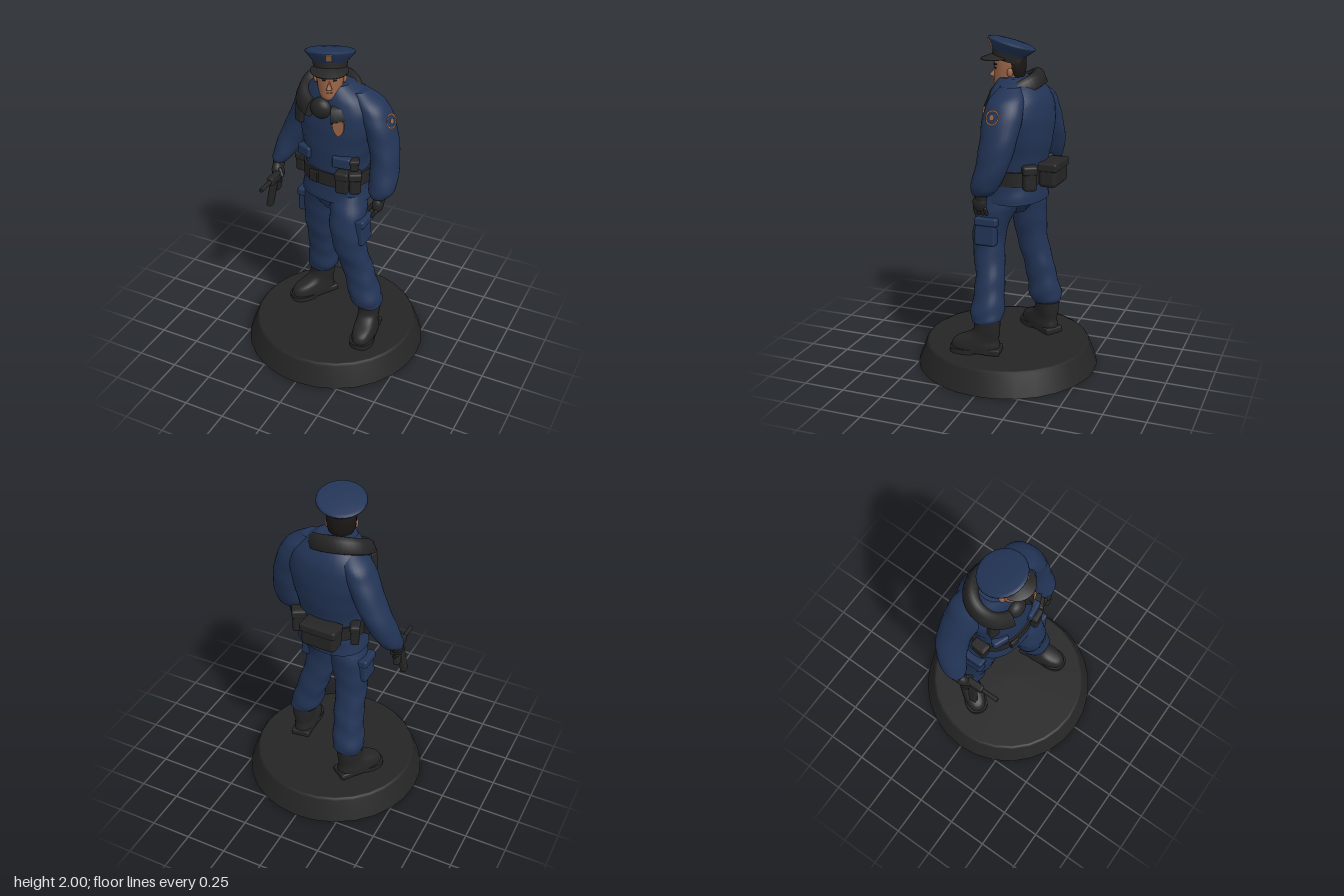
import * as THREE from 'three';
import { RoundedBoxGeometry } from 'three/addons/geometries/RoundedBoxGeometry.js';

const mat = (name, color) => Object.assign(new THREE.MeshStandardMaterial({ color }), { name });

// Skin over a row of closed rings, with flat ends
function skin(rows) {
  const n = rows[0].length, pos = [], idx = [];
  rows.forEach(r => r.forEach(p => pos.push(...p)));
  for (let i = 0; i < rows.length - 1; i++) for (let j = 0; j < n; j++) {
    const a = i * n + j, b = i * n + (j + 1) % n;
    idx.push(a, a + n, b, b, a + n, b + n);
  }
  [rows[0], rows[rows.length - 1]].forEach((ring, end) => {
    const c = pos.length / 3;
    pos.push(...[0, 1, 2].map(k => ring.reduce((s, p) => s + p[k], 0) / n));
    ring.forEach(p => pos.push(...p));
    for (let j = 0; j < n; j++) {
      const a = c + 1 + j, b = c + 1 + (j + 1) % n;
      idx.push(c, end ? b : a, end ? a : b);
    }
  });
  const g = new THREE.BufferGeometry();
  g.setAttribute('position', new THREE.Float32BufferAttribute(pos, 3));
  g.setIndex(idx);
  g.computeVertexNormals();
  return g;
}

// Smooth upright form through oval sections [x, y, z, rx, rz], lowest first
function loft(sections, { yaw = 0, square = 2, fold = 0, waves = 6 } = {}) {
  const path = new THREE.CatmullRomCurve3(sections.map(s => new THREE.Vector3(s[0], s[1], s[2])), false, 'catmullrom');
  const size = new THREE.CatmullRomCurve3(sections.map(s => new THREE.Vector3(s[3], s[4], 0)), false, 'catmullrom');
  const rows = [], steps = (sections.length - 1) * 5, sides = 28;
  const bend = v => Math.sign(v) * Math.abs(v) ** (2 / square);
  for (let i = 0; i <= steps; i++) {
    const t = i / steps, p = path.getPoint(t), r = size.getPoint(t), ring = [];
    for (let j = 0; j < sides; j++) {
      const a = j / sides * Math.PI * 2;
      const k = 1 + fold * Math.sin(t * waves * Math.PI * 2 + 1.6 * Math.sin(a * 2)) * (1 - t * 0.6);
      const u = bend(Math.cos(a)) * r.x * k, v = bend(Math.sin(a)) * r.y * k;
      ring.push([p.x + u * Math.cos(yaw) - v * Math.sin(yaw), p.y, p.z + u * Math.sin(yaw) + v * Math.cos(yaw)]);
    }
    rows.push(ring);
  }
  return skin(rows);
}

export function createModel() {
  const model = new THREE.Group();
  model.name = 'officerFigure';
  const navy = mat('navy cloth', 0x223456), black = mat('black leather', 0x252525);
  const flesh = mat('skin', 0x9c6648), hairMat = mat('dark hair', 0x1a1614), tan = mat('tan badge', 0x9c6648);

  const add = (name, geo, m, p = [0, 0, 0], r = [0, 0, 0], parent = model) => {
    const mesh = new THREE.Mesh(geo, m);
    mesh.name = name;
    mesh.position.set(...p);
    mesh.rotation.set(...r);
    parent.add(mesh);
    return mesh;
  };
  const box = (name, s, m, p, r, parent) =>
    add(name, new RoundedBoxGeometry(...s, 2, Math.min(...s) * 0.25), m, p, r, parent);
  const ball = (name, s, m, p, r, parent) => {
    const b = add(name, new THREE.SphereGeometry(1, 18, 12), m, p, r, parent);
    b.scale.set(...s);
    return b;
  };
  const group = (name, p, r, parent = model) => {
    const g = new THREE.Group();
    g.name = name;
    g.position.set(...p);
    g.rotation.set(...r);
    parent.add(g);
    return g;
  };
  const lathe = pts => new THREE.LatheGeometry(pts.map(p => new THREE.Vector2(...p)), 28);

  // Display base: separate profiles keep its edges crisp
  add('baseSide', lathe([[0.555, 0], [0.505, 0.13], [0.495, 0.142], [0.485, 0.142]]), black);
  add('baseTop', new THREE.CircleGeometry(0.488, 28), black, [0, 0.142, 0], [-Math.PI / 2, 0, 0]);
  add('baseBottom', new THREE.CircleGeometry(0.555, 28), black, [0, 0, 0], [Math.PI / 2, 0, 0]);

  // Boots
  for (const [side, p, yaw] of [['left', [0.25, 0.142, 0.04], 0.12], ['right', [-0.19, 0.142, -0.19], -0.6]]) {
    const boot = group(side + 'Boot', p, [0, yaw, 0]);
    add('bootUpper', loft([[0, 0.01, 0.07, 0.068, 0.148], [0, 0.05, 0.07, 0.069, 0.148], [0, 0.085, 0.06, 0.065, 0.132],
      [0, 0.12, 0.02, 0.062, 0.095], [0, 0.16, 0, 0.066, 0.078], [0, 0.25, 0, 0.072, 0.08]], { square: 2.4 }), black, [0, 0, 0], [0, 0, 0], boot);
    add('toeSole', loft([[0, 0, 0.135, 0.073, 0.095], [0, 0.03, 0.135, 0.073, 0.095]], { square: 2.4 }), black, [0, 0, 0], [0, 0, 0], boot);
    box('heel', [0.12, 0.04, 0.1], black, [0, 0.02, -0.035], [0, 0, 0], boot);
  }

  // Baggy trousers with folds and thigh pockets
  const folds = { fold: 0.035, waves: 6, square: 2.2 };
  add('leftLeg', loft([[0.25, 0.345, 0.045, 0.075, 0.08], [0.23, 0.39, 0.045, 0.098, 0.1], [0.2, 0.5, 0.045, 0.096, 0.09],
    [0.165, 0.62, 0.05, 0.096, 0.085], [0.13, 0.75, 0.07, 0.098, 0.092], [0.112, 0.88, 0.07, 0.106, 0.1],
    [0.1, 1.0, 0.03, 0.108, 0.115], [0.08, 1.1, -0.02, 0.1, 0.12]], folds), navy);
  add('rightLeg', loft([[-0.185, 0.345, -0.19, 0.075, 0.08], [-0.178, 0.39, -0.185, 0.096, 0.1], [-0.168, 0.5, -0.165, 0.09, 0.092],
    [-0.16, 0.62, -0.14, 0.09, 0.09], [-0.155, 0.75, -0.105, 0.094, 0.092], [-0.143, 0.88, -0.09, 0.106, 0.1],
    [-0.125, 1.0, -0.08, 0.108, 0.115], [-0.1, 1.1, -0.06, 0.1, 0.12]], folds), navy);
  add('pelvis', loft([[-0.01, 0.97, -0.02, 0.07, 0.08], [-0.01, 1.03, -0.035, 0.16, 0.12], [-0.01, 1.1, -0.045, 0.19, 0.14]]), navy);
  box('leftThighPocket', [0.06, 0.15, 0.13], navy, [0.205, 0.88, 0.06], [0, 0, 0.08]);
  box('leftPocketFlap', [0.07, 0.05, 0.14], navy, [0.205, 0.95, 0.055], [0, 0, 0.08]);
  box('rightThighPocket', [0.06, 0.14, 0.13], navy, [-0.235, 0.92, -0.08], [0, 0, -0.06]);
  box('rightPocketFlap', [0.07, 0.05, 0.14], navy, [-0.235, 0.98, -0.08], [0, 0, -0.06]);

  // Jacket
  const twist = 0.15;
  add('jacket', loft([[-0.012, 1.055, -0.055, 0.218, 0.168], [-0.012, 1.13, -0.055, 0.205, 0.164], [-0.012, 1.21, -0.055, 0.192, 0.158],
    [-0.012, 1.3, -0.06, 0.195, 0.168], [-0.01, 1.42, -0.07, 0.222, 0.178], [-0.01, 1.54, -0.075, 0.25, 0.178],
    [-0.01, 1.64, -0.075, 0.235, 0.165], [-0.02, 1.71, -0.065, 0.185, 0.14], [-0.035, 1.77, -0.05, 0.11, 0.1]],
    { yaw: twist, square: 2.35, fold: 0.008, waves: 7 }), navy);
  const sleeve = { fold: 0.022, waves: 5 };
  add('leftSleeve', loft([[0.3, 1.14, 0.045, 0.052, 0.055], [0.308, 1.19, 0.025, 0.08, 0.082], [0.303, 1.32, -0.02, 0.083, 0.097],
    [0.28, 1.45, -0.045, 0.086, 0.107], [0.238, 1.58, -0.055, 0.088, 0.115], [0.19, 1.67, -0.06, 0.082, 0.1],
    [0.12, 1.735, -0.06, 0.05, 0.06]], sleeve), navy);
  add('rightSleeve', loft([[-0.415, 1.14, -0.075, 0.045, 0.05], [-0.4, 1.18, -0.1, 0.064, 0.08], [-0.355, 1.3, -0.14, 0.082, 0.095],
    [-0.295, 1.43, -0.15, 0.086, 0.1], [-0.228, 1.57, -0.13, 0.088, 0.11], [-0.185, 1.66, -0.12, 0.08, 0.1],
    [-0.12, 1.735, -0.09, 0.05, 0.06]], sleeve), navy);
  box('rightWaistPocket', [0.1, 0.07, 0.05], navy, [-0.165, 1.335, 0.06], [0, -0.4, 0]);
  box('leftWaistPocket', [0.11, 0.07, 0.05], navy, [0.09, 1.34, 0.105], [0, 0.1, 0]);

  // Raised collar, high at the back and open at the front
  const collar = [];
  for (let i = 0; i <= 36; i++) {
    const a = (i / 36 * 2 - 1) * 2.75, s = Math.sin(a), c = -Math.cos(a);
    const y = 1.67 + 0.14 * (1 - c) / 2 - 0.02 * s;
    collar.push([[-0.06, -0.06], [-0.045, -0.01], [-0.015, 0.005], [0.01, -0.015], [0.035, -0.075], [0, -0.1]]
      .map(([r, d]) => [-0.045 + s * (0.172 + r), y + d, -0.03 + c * (0.148 + r)]));
  }
  add('collar', skin(collar), black);
  add('neck', new THREE.CylinderGeometry(0.065, 0.08, 0.12, 20), black, [-0.04, 1.7, -0.01]);
  ball('scarf', [0.065, 0.062, 0.05], black, [-0.05, 1.645, 0.085]);

  // Chest radio, badge and sleeve patch
  box('radio', [0.06, 0.13, 0.05], black, [-0.2, 1.575, 0.045], [0, -0.4, -0.08]);
  ball('radioTop', [0.035, 0.04, 0.03], black, [-0.185, 1.62, 0.05]);
  const shield = new THREE.Shape();
  shield.moveTo(0, -0.052);
  shield.quadraticCurveTo(0.042, -0.025, 0.035, 0.035);
  shield.lineTo(0.018, 0.048);
  shield.lineTo(-0.018, 0.048);
  shield.lineTo(-0.035, 0.035);
  shield.quadraticCurveTo(-0.042, -0.025, 0, -0.052);
  add('chestBadge', new THREE.ExtrudeGeometry(shield, { depth: 0.009, bevelEnabled: false }), tan, [0.07, 1.555, 0.108], [0, 0, 0]);
  const patch = group('sleevePatch', [0.329, 1.595, -0.03], [-0.1, 1.35, 0]);
  patch.rotation.order = 'YXZ';
  patch.rotation.x = -0.32;
  add('patchRing', new THREE.RingGeometry(0.034, 0.045, 20), tan, [0, 0, 0], [0, 0, 0], patch);
  add('patchCentre', new THREE.CircleGeometry(0.018, 8), tan, [0, 0, 0.006], [0, 0, 0], patch);

  // Duty belt
  add('belt', loft([[-0.012, 1.165, -0.055, 0.207, 0.171], [-0.012, 1.25, -0.055, 0.205, 0.171]], { yaw: twist, square: 2.35 }), black);
  box('buckle', [0.06, 0.07, 0.02], black, [-0.09, 1.205, 0.107], [0, -0.2, 0]);
  for (const [name, s, p, yaw] of [
    ['frontPouch', [0.075, 0.14, 0.06], [0.1, 1.22, 0.12], 0.1],
    ['sidePouch', [0.07, 0.14, 0.07], [0.165, 1.22, 0.09], 0.5],
    ['upperPouch', [0.05, 0.07, 0.06], [0.155, 1.33, 0.08], 0.5],
    ['rightPouch', [0.06, 0.12, 0.09], [-0.23, 1.21, -0.03], -0.1],
    ['rightRearPouch', [0.05, 0.13, 0.08], [-0.205, 1.22, -0.17], 0.4],
    ['backPouch', [0.22, 0.15, 0.11], [-0.04, 1.22, -0.267], -0.04],
    ['backHolster', [0.08, 0.15, 0.08], [0.145, 1.22, -0.185], 0.5]]) {
    box(name, s, black, p, [0, yaw, 0]);
    box(name + 'Flap', [s[0] + 0.008, s[1] * 0.35, s[2] + 0.008], black, [p[0], p[1] + s[1] * 0.31, p[2]], [0, yaw, 0]);
  }

  // Gloved hands
  const hands = [['left', [0.3, 1.09, 0.06], [0, 0, -0.1], 1], ['right', [-0.415, 1.09, -0.035], [-0.5, 0, 0.1], -1]];
  for (const [side, p, r, m] of hands) {
    const hand = group(side + 'Hand', p, r);
    ball('palm', [0.034, 0.052, 0.042], black, [0, 0, 0], [0, 0, 0], hand);
    add('cuff', new THREE.CylinderGeometry(0.04, 0.034, 0.06, 16), black, [0, 0.05, -0.01], [0, 0, 0], hand);
    for (let i = 0; i < 4; i++)
      add('finger', new THREE.CapsuleGeometry(0.012, 0.045, 4, 8), black, [-0.006 * m, -0.052, -0.032 + i * 0.021], [0, 0, -0.45 * m], hand);
    add('thumb', new THREE.CapsuleGeometry(0.013, 0.04, 4, 8), black, [-0.035 * m, -0.02, 0.02], [0, 0, -0.5 * m], hand);
  }

  // Sidearm pointing forward
  const gun = group('sidearm', [-0.395, 1.07, 0.02], [0, 0, 0]);
  box('gunBody', [0.04, 0.055, 0.16], black, [0, 0, 0], [0, 0, 0], gun);
  add('barrel', new THREE.CylinderGeometry(0.013, 0.013, 0.13, 12), black, [0, 0, 0.12], [Math.PI / 2, 0, 0], gun);
  box('gunGrip', [0.036, 0.1, 0.05], black, [-0.008, -0.06, -0.03], [0.2, 0, -0.1], gun);
  box('gunMagazine', [0.034, 0.18, 0.05], black, [-0.02, -0.11, 0.02], [-0.1, 0, -0.14], gun);

  // Head, turned towards its left
  const head = group('head', [-0.035, 1.8, 0], [0, 0.4, 0]);
  add('face', loft([[0, -0.112, 0.045, 0.028, 0.03], [0, -0.09, 0.032, 0.054, 0.06], [0, -0.04, 0.01, 0.07, 0.083],
    [0, 0.02, 0.002, 0.078, 0.09], [0, 0.07, 0, 0.078, 0.09], [0, 0.1, 0, 0.07, 0.08]]), flesh, [0, 0, 0], [0, 0, 0], head);
  add('nose', new THREE.ConeGeometry(0.019, 0.055, 6), flesh, [0, -0.002, 0.096], [-0.25, 0, 0], head);
  box('mouth', [0.036, 0.005, 0.008], hairMat, [0, -0.052, 0.089], [0, 0, 0], head);
  add('hair', loft([[0, -0.04, -0.03, 0.062, 0.052], [0, 0.0, -0.028, 0.079, 0.064], [0, 0.05, -0.025, 0.084, 0.07],
    [0, 0.095, -0.02, 0.08, 0.07]]), hairMat, [0, 0, 0], [0, 0, 0], head);
  for (const m of [1, -1]) {
    ball('ear', [0.011, 0.026, 0.017], flesh, [m * 0.082, 0, 0.005], [0, 0, 0], head);
    box('brow', [0.034, 0.008, 0.009], hairMat, [m * 0.03, 0.04, 0.086], [0, m * 0.35, m * 0.12], head);
    box('eye', [0.022, 0.008, 0.008], hairMat, [m * 0.03, 0.02, 0.085], [0, m * 0.35, 0], head);
  }

  // Peaked cap, tipped back
  const cap = group('cap', [0, 0.093, 0.008], [-0.28, 0, 0], head);
  add('capBand', lathe([[0.092, -0.035], [0.1, 0.02]]), black, [0, 0, 0], [0, 0, 0], cap);
  add('capCrown', lathe([[0.099, 0.012], [0.122, 0.04], [0.142, 0.062], [0.14, 0.07], [0.125, 0.077], [0.06, 0.083], [0, 0.084]]), navy, [0, 0, 0], [0, 0, 0], cap);
  const visor = [];
  for (let i = 0; i <= 20; i++) {
    const a = (i / 20 * 2 - 1) * 1.35, k = Math.cos(a);
    visor.push([[0.095 + 0.055 * k, -0.06 * k], [0.095 + 0.055 * k, -0.052 * k], [0.088, -0.005], [0.088, -0.022]]
      .map(([r, y]) => [Math.sin(a) * r, y - 0.01, Math.cos(a) * r]));
  }
  add('visor', skin(visor), black, [0, 0, 0], [0, 0, 0], cap);
  box('capBadge', [0.036, 0.05, 0.009], tan, [0, 0.04, 0.126], [0.7, 0, 0], cap);
  return model;
}
